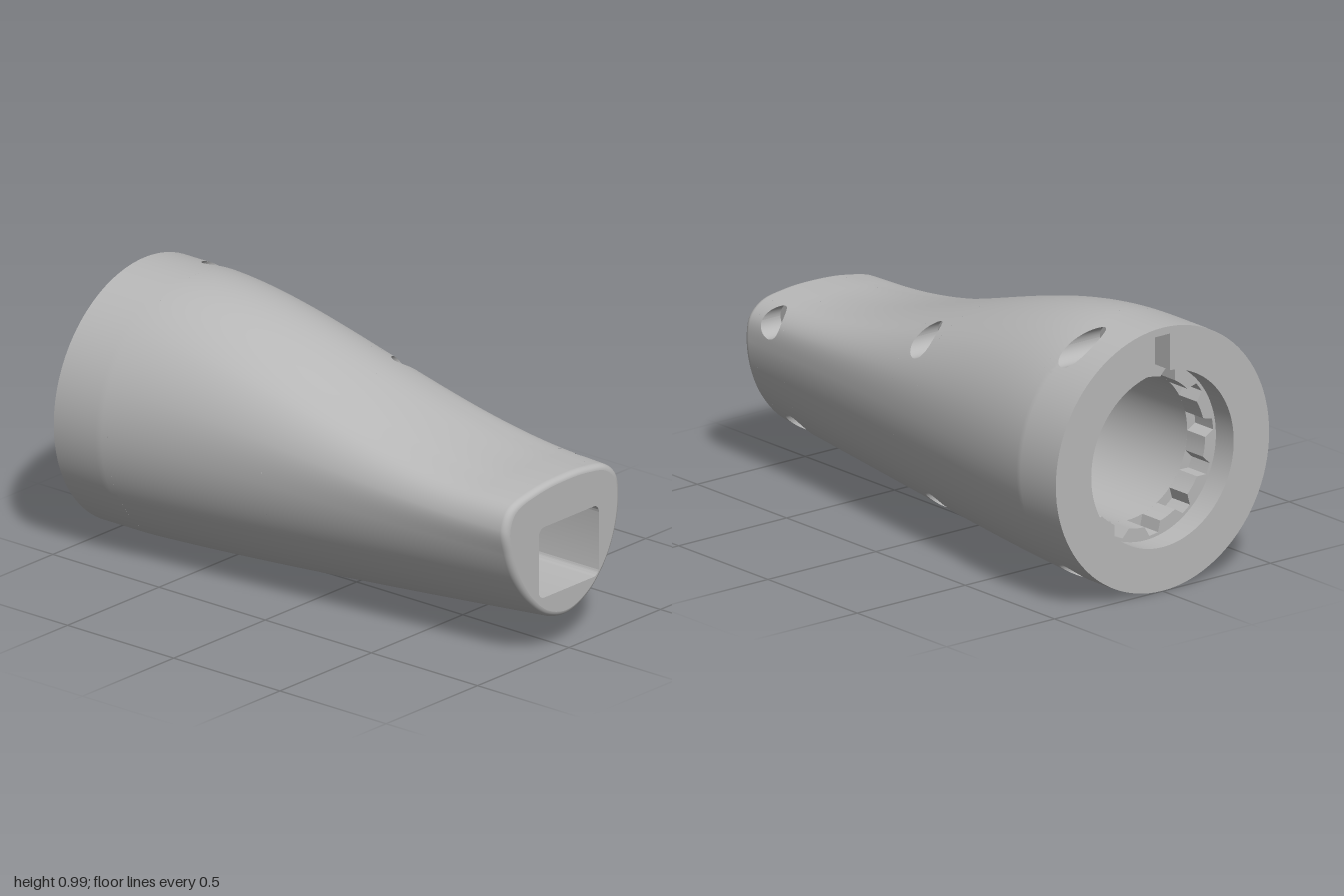
import * as THREE from 'three';
import { toCreasedNormals } from 'three/addons/utils/BufferGeometryUtils.js';

const R = 0.495, CY = 0.495, TAU = Math.PI * 2, END_CY = 0.4;
const lerp = THREE.MathUtils.lerp, clamp = THREE.MathUtils.clamp;

// Narrow end section as (z, y), from the top round through the back
const endCurve = new THREE.CatmullRomCurve3([
  [0, .663], [-.11, .657], [-.215, .635], [-.27, .585], [-.283, .5], [-.265, .39], [-.215, .28], [-.12, .178],
  [0, .13], [.11, .152], [.205, .225], [.28, .33], [.325, .44], [.345, .54], [.31, .612], [.17, .652],
].map(([z, y]) => new THREE.Vector3(0, y, z)), true);

// Point on the outer skin: the circle at the wide end eases into the end section
function skinPoint(x, a) {
  const e = endCurve.getPoint((((a / TAU) % 1) + 1) % 1);
  const c = Math.cos(a), s = Math.sin(a);
  const k = clamp((x + 0.8) / 1.8, 0, 1);
  const top = THREE.MathUtils.smoothstep(x, -0.77, 0.83);
  const ty = lerp(Math.pow(k, 1.4), top, (1 + c) / 2);
  const tz = lerp(k, 1 - Math.pow(1 - k, 1.4), (1 + s) / 2);
  const p = new THREE.Vector3(x, lerp(CY + R * c, e.y, ty), lerp(-R * s, e.z, tz));
  // rounded rim at the narrow end
  const q = clamp((x - 0.975) / 0.025, 0, 1);
  const f = 1 - 0.07 * (1 - Math.sqrt(1 - q * q));
  p.y = END_CY + (p.y - END_CY) * f;
  p.z *= f;
  return p;
}

function skinNormal(x, a) {
  const h = 1e-3;
  const dx = skinPoint(Math.min(x + h, 1), a).sub(skinPoint(x - h, a));
  const da = skinPoint(x, a + h).sub(skinPoint(x, a - h));
  return dx.cross(da).normalize();
}

// Grid of quads from point(u, v), with optional normals
function grid(nu, nv, point, normal) {
  const pos = [], nor = [], idx = [];
  for (let i = 0; i <= nu; i++) for (let j = 0; j <= nv; j++) {
    pos.push(...point(i / nu, j / nv).toArray());
    if (normal) nor.push(...normal(i / nu, j / nv).toArray());
    if (i < nu && j < nv) {
      const a = i * (nv + 1) + j, b = a + nv + 1;
      idx.push(a, b, a + 1, b, b + 1, a + 1);
    }
  }
  const g = new THREE.BufferGeometry();
  g.setAttribute('position', new THREE.Float32BufferAttribute(pos, 3));
  g.setIndex(idx);
  if (normal) g.setAttribute('normal', new THREE.Float32BufferAttribute(nor, 3));
  else g.computeVertexNormals();
  return g;
}

// Skin patch whose parameters (x, angle) come from map(u, v)
const skinPatch = (nu, nv, map) =>
  grid(nu, nv, (u, v) => skinPoint(...map(u, v)), (u, v) => skinNormal(...map(u, v)));

// Angle on the back half where the skin reaches height y
function angleAt(x, y) {
  let lo = 0, hi = Math.PI;
  for (let i = 0; i < 30; i++) {
    const m = (lo + hi) / 2;
    if (skinPoint(x, m).y > y) lo = m; else hi = m;
  }
  return (lo + hi) / 2;
}

function roundedRect(path, x0, y0, x1, y1, r) {
  path.moveTo(x0 + r, y0);
  path.lineTo(x1 - r, y0);
  path.absarc(x1 - r, y0 + r, r, -Math.PI / 2, 0, false);
  path.absarc(x1 - r, y1 - r, r, 0, Math.PI / 2, false);
  path.absarc(x0 + r, y1 - r, r, Math.PI / 2, Math.PI, false);
  path.absarc(x0 + r, y0 + r, r, Math.PI, Math.PI * 1.5, false);
  return path;
}

export function createModel() {
  const model = new THREE.Group();
  const grey = new THREE.MeshStandardMaterial({ color: 0xb8b8b8 });
  grey.name = 'grey';
  const add = (name, geometry, parent = model) => {
    const m = new THREE.Mesh(geometry, grey);
    m.name = name;
    parent.add(m);
    return m;
  };
  const extrude = (shape, depth) => new THREE.ExtrudeGeometry(shape,
    { depth, bevelEnabled: false, curveSegments: 48 }).rotateY(Math.PI / 2);

  const shell = new THREE.Group();
  shell.name = 'shell';
  model.add(shell);
  const strip = (x0, x1, a0, a1, nx) => add('shellPanel', skinPatch(nx,
    Math.max(4, Math.ceil((a1 - a0) / TAU * 112)), (u, v) => [lerp(x0, x1, u), lerp(a0, a1, v)]), shell);

  // Screw holes, drilled along z into the back of the shell
  const r = 0.054, hx = 0.08;
  function screwHole(cx, cy) {
    const N = 48, edge = [];
    for (let i = 0; i <= N; i++) {
      const phi = -TAU * i / N;
      const x = cx + r * Math.cos(phi);
      edge.push([x, angleAt(x, cy + r * Math.sin(phi))]);
    }
    const angles = edge.map(e => e[1]);
    const a0 = Math.min(...angles) - 0.07, a1 = Math.max(...angles) + 0.07;
    // skin around the opening
    add('holeSurround', skinPatch(6, N, (u, v) => {
      const i = Math.round(v * N), phi = -TAU * v;
      const c = Math.cos(phi), s = -Math.sin(phi), m = Math.max(Math.abs(c), Math.abs(s));
      return [lerp(edge[i][0], cx + hx * c / m, u),
        lerp(edge[i][1], (a0 + a1) / 2 + (a1 - a0) / 2 * s / m, u)];
    }), shell);
    // bore wall and stepped floor
    const rim = edge.map(e => skinPoint(...e));
    const floor = Math.max(...rim.map(p => p.z)) + 0.02;
    const hole = new THREE.Group();
    hole.name = 'screwHole';
    model.add(hole);
    add('holeWall', grid(1, N, (u, v) => {
      const p = rim[Math.round(v * N)].clone();
      if (u === 0) p.z = floor;
      return p;
    }), hole);
    const profile = [[0, floor + 0.06], [0.028, floor + 0.06], [0.028, floor], [r, floor]];
    const seat = new THREE.LatheGeometry(profile.map(p => new THREE.Vector2(...p)), 32);
    add('screwSeat', toCreasedNormals(seat.rotateX(Math.PI / 2), 0.6), hole).position.set(cx, cy, 0);
    return [a0, a1];
  }

  // Shell bands: plain lengths alternate with lengths that hold two holes
  let start = -1;
  for (const [cx, upper, lower] of [[-0.83, 0.92, 0.07], [0, 0.745, 0.117], [0.86, 0.59, 0.177]]) {
    strip(start, cx - hx, 0, TAU, 14);
    const [a0, a1] = screwHole(cx, upper);
    const [b0, b1] = screwHole(cx, lower);
    strip(cx - hx, cx + hx, a1, b0, 6);
    strip(cx - hx, cx + hx, b1, TAU + a0, 6);
    start = cx + hx;
  }
  strip(start, 1, 0, TAU, 24);

  // Narrow end face with a rectangular socket
  const rect = [-0.165, 0.23, 0.165, 0.5];
  const outline = [];
  for (let i = 0; i < 112; i++) {
    const p = skinPoint(1, -TAU * i / 112);
    outline.push(new THREE.Vector2(-p.z, p.y));
  }
  const face = new THREE.Shape(outline);
  face.holes.push(roundedRect(new THREE.Path(), ...rect, 0.03));
  add('endFace', new THREE.ShapeGeometry(face, 8).rotateY(Math.PI / 2)).position.x = 1;
  const collar = roundedRect(new THREE.Shape(), -0.17, 0.225, 0.17, 0.505, 0.035);
  collar.holes.push(roundedRect(new THREE.Path(), ...rect, 0.03));
  add('socketWalls', toCreasedNormals(extrude(collar, 0.698), 0.5)).position.x = 0.301;
  add('socketFloor', new THREE.BoxGeometry(0.02, 0.28, 0.34)).position.set(0.3, 0.365, 0);

  // Wide end: flat rim with a key slot at the top
  const rim = new THREE.Shape().absarc(0, 0, 0.494, 0, TAU, false);
  const mouth = 0.33, w = 0.035, open = Math.asin(w / mouth);
  const key = new THREE.Path();
  key.moveTo(w, 0.465);
  key.lineTo(w, mouth * Math.cos(open));
  key.absarc(0, 0, mouth, Math.PI / 2 - open, Math.PI / 2 + open - TAU, true);
  key.lineTo(-w, 0.465);
  rim.holes.push(key);
  add('endRim', toCreasedNormals(extrude(rim, 0.1), 0.5)).position.set(-1, CY, 0);
  add('slotBack', new THREE.RingGeometry(0.355, 0.49, 64).rotateY(-Math.PI / 2)).position.set(-0.9, CY, 0);

  // Toothed locking ring inside the mouth
  const ring = new THREE.Shape().absarc(0, 0, 0.36, 0, TAU, false);
  const teeth = [];
  for (let i = 0; i < 96; i++) {
    const a = TAU * i / 96, d = i % 8 < 5 ? 0.28 : 0.318;
    teeth.push(new THREE.Vector2(d * Math.cos(a), d * Math.sin(a)));
  }
  ring.holes.push(new THREE.Path(teeth));
  add('lockingRing', toCreasedNormals(extrude(ring, 0.1), 0.4)).position.set(-0.9, CY, 0);

  // Round bore behind the ring
  const bore = [[0, -0.2], [0.28, -0.2], [0.28, -0.8], [0.34, -0.8]].map(p => new THREE.Vector2(...p));
  add('bore', toCreasedNormals(new THREE.LatheGeometry(bore, 64).rotateZ(-Math.PI / 2), 0.6)).position.y = CY;

  return model;
}
